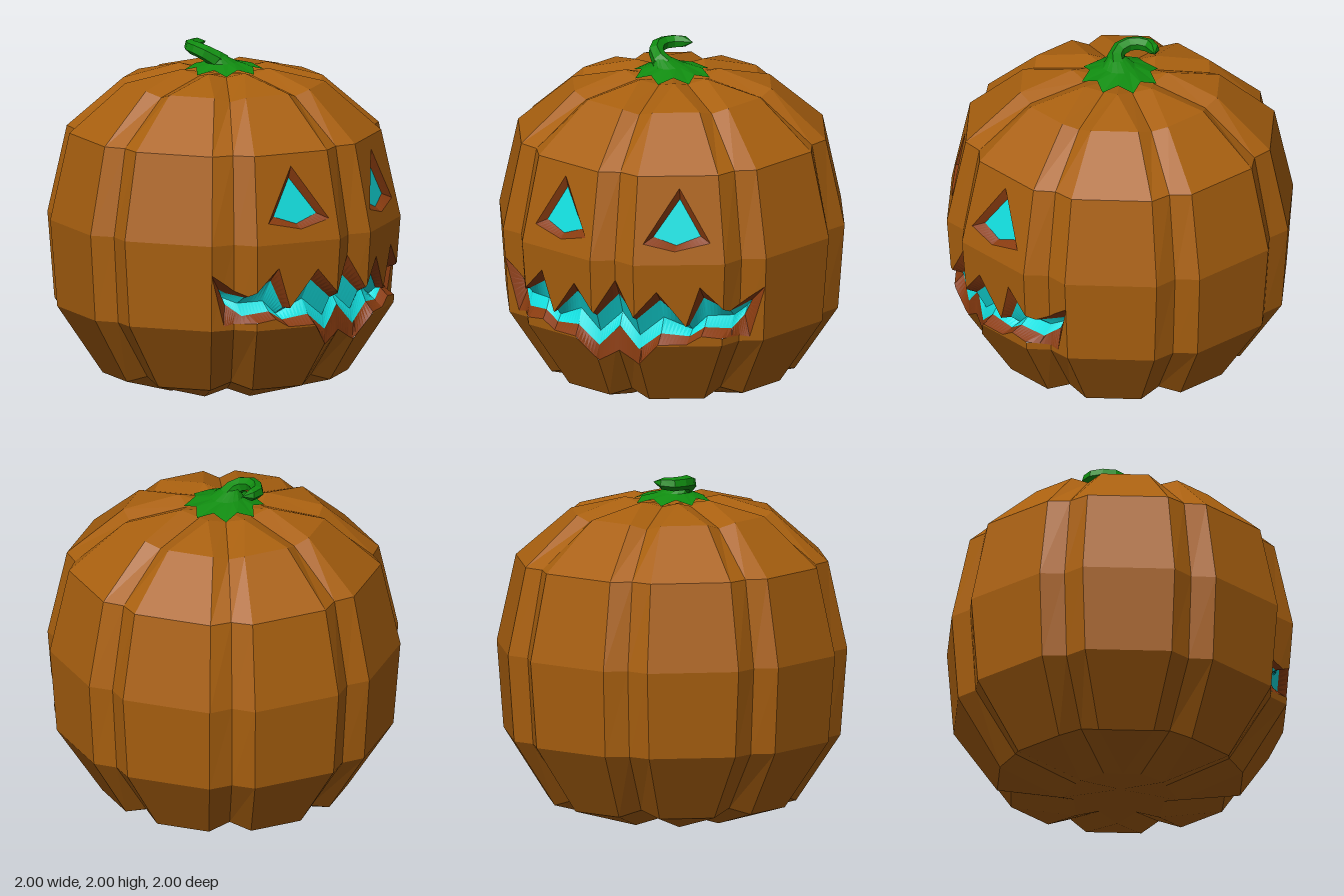
import * as THREE from 'three';

const V = (x, y, z) => new THREE.Vector3(x, y, z);
const mat = (name, color, side = THREE.FrontSide) => {
  const m = new THREE.MeshStandardMaterial({ color, side });
  m.name = name;
  return m;
};

// Flat-shaded mesh from a list of convex polygons
function facetMesh(name, polys, material) {
  const pts = [];
  for (const p of polys)
    for (let i = 1; i + 1 < p.length; i++) pts.push(p[0], p[i], p[i + 1]);
  const g = new THREE.BufferGeometry().setFromPoints(pts);
  g.computeVertexNormals();
  const mesh = new THREE.Mesh(g, material);
  mesh.name = name;
  return mesh;
}

// Triangles joining two rows of points
function strip(a, b) {
  const out = [];
  for (let i = 0; i + 1 < a.length; i++)
    out.push([a[i], a[i + 1], b[i + 1]], [a[i], b[i + 1], b[i]]);
  return out;
}

// Shell levels, bottom to top: rib height, rib radius, groove half-width, groove height, groove radius
const LEVELS = [
  [0.0, 0.31, 0.128, 0.04, 0.28],
  [0.11, 0.70, 0.12, 0.15, 0.66],
  [0.5, 0.96, 0.13, 0.5, 0.91],
  [1.0, 1.0, 0.13, 1.0, 0.945],
  [1.5, 0.89, 0.12, 1.5, 0.85],
  [1.78, 0.57, 0.09, 1.75, 0.54],
  [1.86, 0.25, 0.1035, 1.83, 0.21],
];

function shellTriangles() {
  const rings = LEVELS.map(([y, r, w, gy, gr]) => {
    const ring = [];
    for (let k = 0; k <= 8; k++) {
      const a = (k * Math.PI) / 4, s = Math.sin(a), c = Math.cos(a);
      if (k > 0) ring.push(V(r * s - w * c, y, r * c + w * s));
      ring.push(V(gr * s, gy, gr * c));
      if (k < 8) ring.push(V(r * s + w * c, y, r * c - w * s));
    }
    return ring;
  });
  rings.unshift(rings[0].map(() => V(0, 0.06, 0)));
  rings.push(rings[0].map(() => V(0, 1.81, 0)));
  const tris = [];
  for (let i = 0; i + 1 < rings.length; i++) tris.push(...strip(rings[i], rings[i + 1]));
  return tris.filter((t) => new THREE.Triangle(...t).getArea() > 1e-5);
}

// Keep the part of a polygon where f >= 0
function clip(poly, f) {
  const out = [];
  poly.forEach((p, i) => {
    const q = poly[(i + 1) % poly.length], a = f(p), b = f(q);
    if (a >= 0) out.push(p);
    if ((a > 0 && b < 0) || (a < 0 && b > 0)) out.push(p.clone().lerp(q, a / (a - b)));
  });
  return out;
}

// Remove an opening, given as columns [x, top, bottom], from a polygon
function cutOpening(poly, cols) {
  const n = cols.length - 1;
  const out = [clip(poly, (p) => cols[0][0] - p.x), clip(poly, (p) => p.x - cols[n][0])];
  for (let i = 0; i < n; i++) {
    const [x0, t0, b0] = cols[i], [x1, t1, b1] = cols[i + 1];
    const slab = clip(clip(poly, (p) => p.x - x0), (p) => x1 - p.x);
    const u = (p) => (p.x - x0) / (x1 - x0);
    out.push(clip(slab, (p) => p.y - (t0 + (t1 - t0) * u(p))));
    out.push(clip(slab, (p) => b0 + (b1 - b0) * u(p) - p.y));
  }
  return out.filter((p) => p.length > 2);
}

// Front surface depth at (x, y)
function surfaceZ(tris, x, y) {
  let best = 0;
  for (const [a, b, c] of tris) {
    const d = (b.x - a.x) * (c.y - a.y) - (c.x - a.x) * (b.y - a.y);
    if (d < 1e-7) continue;
    const v = ((x - a.x) * (c.y - a.y) - (c.x - a.x) * (y - a.y)) / d;
    const w = ((b.x - a.x) * (y - a.y) - (x - a.x) * (b.y - a.y)) / d;
    if (v < -1e-4 || w < -1e-4 || v + w > 1.0001) continue;
    best = Math.max(best, a.z + v * (b.z - a.z) + w * (c.z - a.z));
  }
  return best;
}

// Mirror columns in x, keeping them sorted
const flip = (cols) => cols.map(([x, ...r]) => [-x, ...r]).reverse();
const bothSides = (half) => [...flip(half.slice(1)), ...half];

// Eye opening and its glowing floor: [x, top, bottom]
const EYE = [[0.175, 1.12, 1.12], [0.345, 1.43, 1.075], [0.53, 1.12, 1.12]];
const EYE_IN = [[0.215, 1.15, 1.15], [0.34, 1.36, 1.1], [0.465, 1.15, 1.15]];

// Mouth opening [x, top, bottom] and its inside [x, top, bottom, crease]
const MOUTH = bothSides([
  [0, 0.88, 0.44], [0.12, 0.68, 0.37], [0.25, 0.835, 0.51], [0.4, 0.62, 0.51],
  [0.48, 0.86, 0.56], [0.62, 0.70, 0.54], [0.70, 0.765, 0.525], [0.79, 0.83, 0.83],
]);
const MOUTH_IN = bothSides([
  [0, 0.78, 0.585, 0.655], [0.12, 0.65, 0.46, 0.54], [0.25, 0.77, 0.565, 0.65], [0.4, 0.615, 0.545, 0.575],
  [0.48, 0.78, 0.60, 0.655], [0.61, 0.69, 0.58, 0.65], [0.66, 0.71, 0.645, 0.685], [0.70, 0.735, 0.735, 0.735],
]);

export function createModel() {
  const skin = mat('pumpkin skin', 0xa9600f);
  const flesh = mat('carved flesh', 0x8a3c10, THREE.DoubleSide);
  const glow = mat('cyan glow', 0x14e4e4, THREE.DoubleSide);
  const green = mat('stem green', 0x108c10, THREE.DoubleSide);

  const model = new THREE.Group();
  model.name = 'carvedPumpkin';
  const tris = shellTriangles();

  // Ribbed shell with the face openings removed
  let polys = tris;
  for (const cut of [MOUTH, EYE, flip(EYE)])
    polys = polys.flatMap((p) => (p.every((q) => q.z > 0.3) ? cutOpening(p, cut) : [p]));
  model.add(facetMesh('shell', polys, skin));

  // Row of points from one value of each column, pushed behind the surface, each span split in N
  const N = 8;
  const row = (cols, key, depth, onSurface = false) => {
    const at = (x, y) => V(x, y, surfaceZ(tris, x, y) - depth);
    const pts = [];
    for (let i = 0; i + 1 < cols.length; i++) {
      const a = at(cols[i][0], cols[i][key]), b = at(cols[i + 1][0], cols[i + 1][key]);
      for (let j = 0; j <= N; j++) {
        const p = a.clone().lerp(b, j / N);
        pts.push(onSurface ? at(p.x, p.y) : p);
      }
    }
    return pts;
  };
  // Cut walls from the rim to the inner outline
  const walls = (outer, inner, depth) => [
    ...strip(row(inner, 1, depth), row(outer, 1, 0, true)),
    ...strip(row(outer, 2, 0, true), row(inner, 2, depth)),
  ];

  // Eyes
  for (const [name, f] of [['leftEye', (c) => c], ['rightEye', flip]]) {
    const eye = new THREE.Group();
    eye.name = name;
    const inner = f(EYE_IN);
    eye.add(facetMesh('eyeRim', walls(f(EYE), inner, 0.04), flesh));
    eye.add(facetMesh('eyeGlow', strip(row(inner, 2, 0.04), row(inner, 1, 0.04)), glow));
    model.add(eye);
  }

  // Mouth: rim walls, then a glowing V-shaped hollow
  const mouth = new THREE.Group();
  mouth.name = 'mouth';
  mouth.add(facetMesh('mouthRim', walls(MOUTH, MOUTH_IN, 0.06), flesh));
  const crease = row(MOUTH_IN, 3, 0.11);
  mouth.add(facetMesh('mouthGlow', [
    ...strip(crease, row(MOUTH_IN, 1, 0.06)),
    ...strip(row(MOUTH_IN, 2, 0.06), crease),
  ], glow));
  model.add(mouth);

  // Star-shaped stem base
  const ring = (r0, r1, y0, y1, cx) => Array.from({ length: 17 }, (_, i) => {
    const a = (i * Math.PI) / 8, r = i % 2 ? r1 : r0;
    return V(cx + r * Math.sin(a), i % 2 ? y1 : y0, r * Math.cos(a));
  });
  const star = ring(0.23, 0.175, 1.835, 1.862, 0);
  const collar = ring(0.095, 0.09, 1.885, 1.885, -0.02);
  const neck = ring(0.045, 0.045, 1.925, 1.925, -0.06);
  model.add(facetMesh('stemBase', [...strip(star, collar), ...strip(collar, neck)], green));

  // Curled stem, tapering to a point
  const path = new THREE.CatmullRomCurve3([
    V(-0.03, 1.88, 0.01), V(-0.095, 1.925, -0.01), V(-0.12, 1.955, -0.08),
    V(-0.105, 1.96, -0.15), V(-0.045, 1.96, -0.205), V(0.055, 1.968, -0.19),
  ]);
  const SEG = 7, SIDES = 6;
  const radii = [0.055, 0.05, 0.045, 0.042, 0.04, 0.04, 0.035, 0.002];
  const tube = new THREE.TubeGeometry(path, SEG, 1, SIDES);
  const pos = tube.attributes.position, p = V(0, 0, 0);
  for (let i = 0; i < pos.count; i++) {
    const k = Math.floor(i / (SIDES + 1)), c = path.getPointAt(k / SEG);
    p.fromBufferAttribute(pos, i).sub(c).multiplyScalar(radii[k]).add(c);
    pos.setXYZ(i, p.x, p.y, p.z);
  }
  const flat = tube.toNonIndexed();
  flat.computeVertexNormals();
  const stem = new THREE.Mesh(flat, green);
  stem.name = 'stem';
  model.add(stem);

  return model;
}
